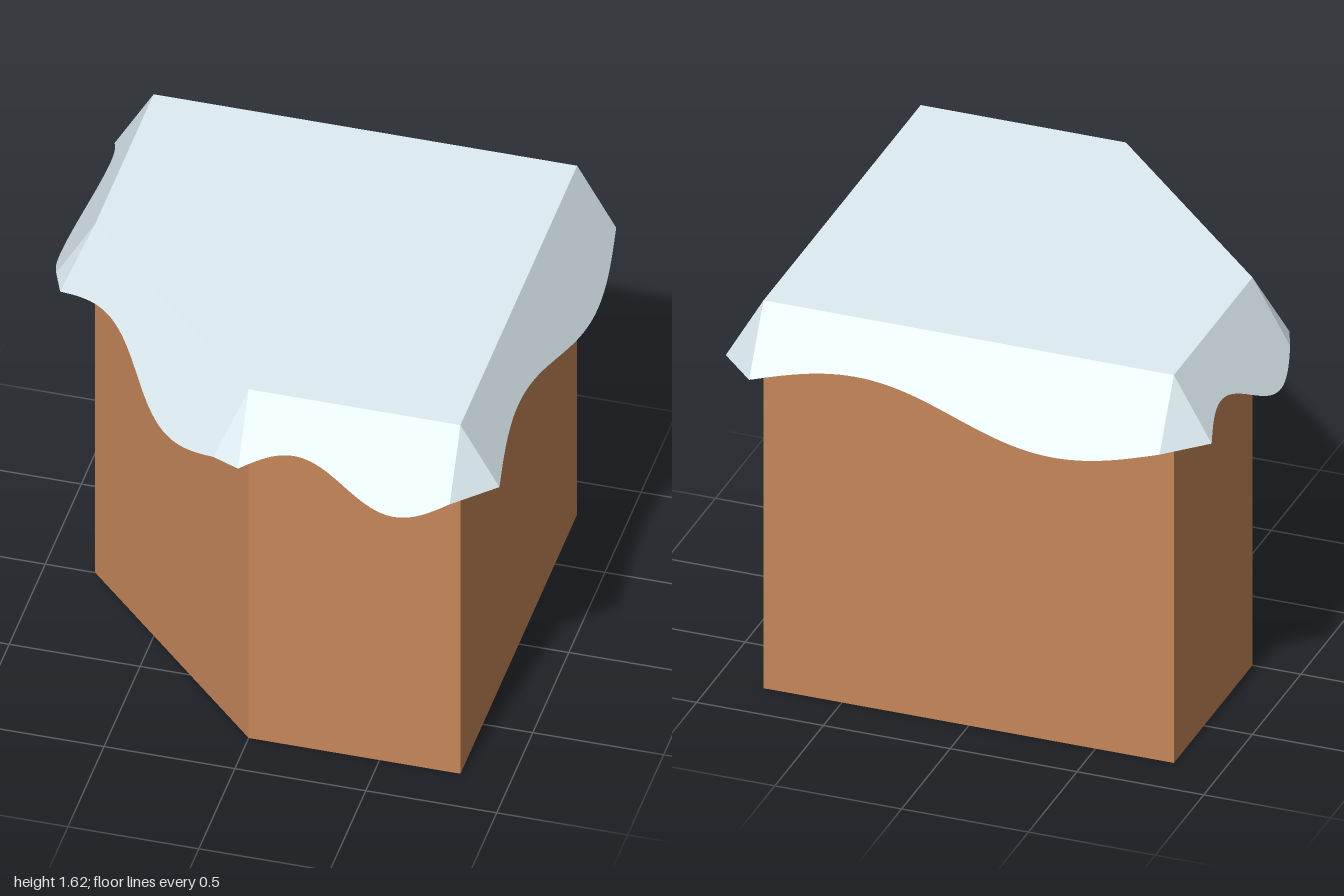
import * as THREE from 'three';

const R = 0.809;       // half width of the block
const H = 1.624;       // height
const DROP = 0.298;    // mean length of a hanging flap
const WAVE = 0.081;    // depth of its wavy hem
const TILT = Math.PI / 6;

// Square footprint with one corner cut off, as (x, z), running front, right, back, left, diagonal
const corners = [[0, R], [R, R], [R, -R], [-R, -R], [-R, 0]].map(([x, z]) => new THREE.Vector3(x, H, z));

export function createModel() {
  const model = new THREE.Group();
  const brown = new THREE.MeshStandardMaterial({ color: 0xc68659 });
  const pale = new THREE.MeshStandardMaterial({ color: 0xdfeef4, side: THREE.DoubleSide });

  const add = (parent, name, geometry, material) => {
    const mesh = new THREE.Mesh(geometry, material);
    mesh.name = name;
    parent.add(mesh);
    return mesh;
  };

  // Block, its top just under the cover
  const footprint = new THREE.Shape(corners.map(c => new THREE.Vector2(c.x, -c.z)));
  const block = new THREE.ExtrudeGeometry(footprint, { depth: H - 0.004, bevelEnabled: false });
  add(model, 'block', block.rotateX(-Math.PI / 2), brown);

  // Cover: flat top with a flap hanging from each edge
  const cover = new THREE.Group();
  cover.name = 'cover';
  model.add(cover);
  const top = new THREE.ShapeGeometry(footprint).rotateX(-Math.PI / 2).translate(0, H, 0);
  add(cover, 'coverTop', top, pale);

  // Axes of each edge: along it, up the tilted flap, and the flap's normal
  const up = new THREE.Vector3(0, 1, 0);
  const edges = corners.map((start, i) => {
    const end = corners[(i + 1) % corners.length];
    const along = end.clone().sub(start).normalize();
    const out = new THREE.Vector3(-along.z, 0, along.x);
    const slope = up.clone().multiplyScalar(Math.cos(TILT)).addScaledVector(out, -Math.sin(TILT));
    return { start, along, slope, length: start.distanceTo(end) };
  });

  edges.forEach(({ start, along, slope, length }, i) => {
    // Flap with one full wave along its hem
    const outline = [new THREE.Vector2(length, 0), new THREE.Vector2(0, 0)];
    const steps = 48;
    for (let k = 0; k <= steps; k++) {
      const t = k / steps;
      outline.push(new THREE.Vector2(t * length, WAVE * Math.sin(t * Math.PI * 2) - DROP));
    }
    const flap = new THREE.ShapeGeometry(new THREE.Shape(outline));
    const normal = along.clone().cross(slope);
    flap.applyMatrix4(new THREE.Matrix4().makeBasis(along, slope, normal).setPosition(start));
    add(cover, 'flap' + (i + 1), flap, pale);

    // Triangular gusset joining this flap to the one before it
    const before = edges[(i + edges.length - 1) % edges.length];
    const gusset = new THREE.BufferGeometry().setFromPoints([
      start.clone().addScaledVector(before.slope, -DROP),
      start.clone().addScaledVector(slope, -DROP),
      start,
    ]);
    gusset.computeVertexNormals();
    add(cover, 'gusset' + (i + 1), gusset, pale);
  });

  return model;
}
